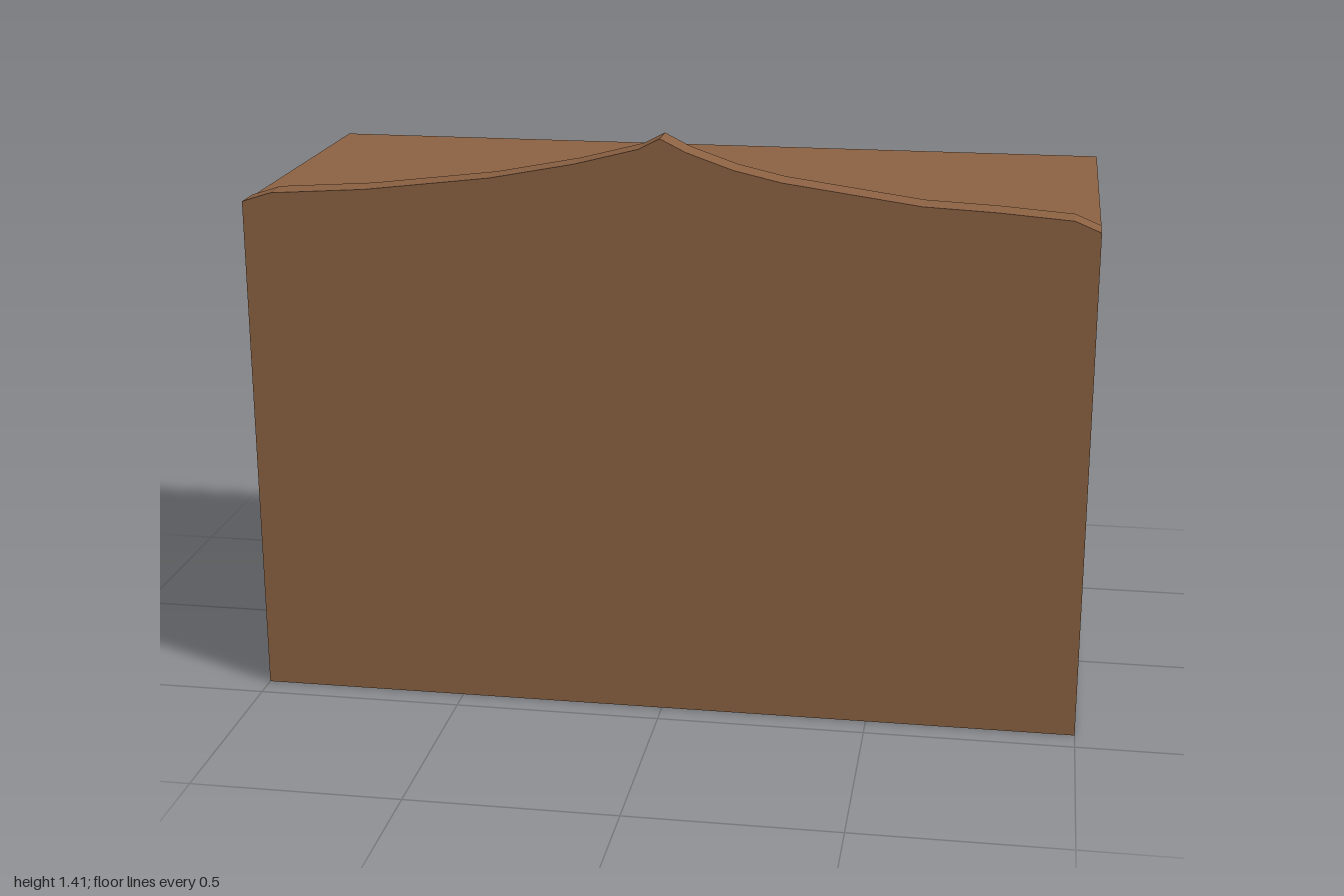
import * as THREE from 'three';

export function createModel() {
  const model = new THREE.Group();
  model.name = 'dresser';
  const wood = new THREE.MeshStandardMaterial({ color: 0x8b6142 });
  wood.name = 'brown wood';
  const red = new THREE.MeshStandardMaterial({ color: 0xb47060 });
  red.name = 'reddish wood';
  const metal = new THREE.MeshStandardMaterial({ color: 0x98a3a5 });
  metal.name = 'grey metal';

  // Box given by its minimum and maximum corners
  function box(name, mat, x0, x1, y0, y1, z0, z1) {
    const mesh = new THREE.Mesh(new THREE.BoxGeometry(x1 - x0, y1 - y0, z1 - z0), mat);
    mesh.position.set((x0 + x1) / 2, (y0 + y1) / 2, (z0 + z1) / 2);
    mesh.name = name;
    model.add(mesh);
  }

  // Cabinet: carcass, overhanging top and projecting side panel
  box('carcass', wood, -1, 1, 0, 1.212, -0.405, 0.437);
  box('topPanel', wood, -1, 1, 1.212, 1.232, -0.421, 0.437);
  box('sidePanel', wood, 0.943, 1, 0, 1.212, -0.421, -0.405);

  // Crest board with a pointed, sweeping top edge
  const crest = [
    [-1, 1.235], [-0.93, 1.258], [-0.7, 1.274], [-0.4, 1.311], [-0.2, 1.35], [-0.05, 1.389],
    [0, 1.415], [0.06, 1.385], [0.17, 1.347], [0.28, 1.322], [0.6, 1.278], [0.77, 1.27],
    [0.94, 1.257], [1, 1.232],
  ];
  const outline = new THREE.Shape([
    new THREE.Vector2(-1, 1.225),
    new THREE.Vector2(1, 1.225),
    ...crest.reverse().map(([x, y]) => new THREE.Vector2(x, y)),
  ]);
  const crestMesh = new THREE.Mesh(
    new THREE.ExtrudeGeometry(outline, { depth: 0.075, bevelEnabled: false }), wood);
  crestMesh.position.z = 0.362;
  crestMesh.name = 'crestBoard';
  model.add(crestMesh);

  // Bridge-shaped pull with chamfered edges, standing out towards -z
  const face = -0.415;
  function handle(name, x, y, length, height, depth, upright = false) {
    const h = length / 2 - 0.003, d = depth - 0.003;
    const profile = new THREE.Shape([
      [-h, 0], [h, 0], [h, d * 0.6], [h - 0.014, d], [-h + 0.014, d], [-h, d * 0.6],
    ].map(([a, b]) => new THREE.Vector2(a, b)));
    // finger opening behind the bar
    profile.holes.push(new THREE.Path([
      [-h + 0.025, 0.002], [-h + 0.035, d * 0.45], [h - 0.035, d * 0.45], [h - 0.025, 0.002],
    ].map(([a, b]) => new THREE.Vector2(a, b))));
    const bevel = 0.008;
    const geo = new THREE.ExtrudeGeometry(profile, {
      depth: height - 2 * bevel, bevelEnabled: true, bevelSegments: 1,
      bevelSize: 0.003, bevelThickness: bevel,
    });
    geo.translate(0, 0, -height / 2 + bevel);
    geo.rotateX(-Math.PI / 2);
    if (upright) geo.rotateZ(Math.PI / 2);
    const mesh = new THREE.Mesh(geo, metal);
    mesh.position.set(x, y, face);
    mesh.name = name;
    model.add(mesh);
  }

  // Drawer fronts and door: name, x range, y range
  const fronts = [
    ['upperLeftDrawer', 0.297, 0.923, 0.86, 1.197],
    ['upperRightDrawer', -0.356, 0.265, 0.86, 1.197],
    ['middleDrawer', -0.34, 0.92, 0.438, 0.842],
    ['bottomDrawer', -0.34, 0.92, 0.025, 0.419],
    ['door', -0.98, -0.392, 0.027, 1.197],
  ];
  for (const [name, x0, x1, y0, y1] of fronts) box(name, red, x0, x1, y0, y1, face, -0.4);

  handle('upperLeftHandle', 0.605, 1.02, 0.22, 0.034, 0.012);
  handle('upperRightHandle', -0.055, 1.02, 0.22, 0.034, 0.016);
  handle('middleHandle', 0.28, 0.65, 0.22, 0.042, 0.022);
  handle('bottomHandle', 0.28, 0.24, 0.22, 0.042, 0.022);
  handle('doorHandle', -0.44, 0.75, 0.21, 0.034, 0.012, true);
  return model;
}
